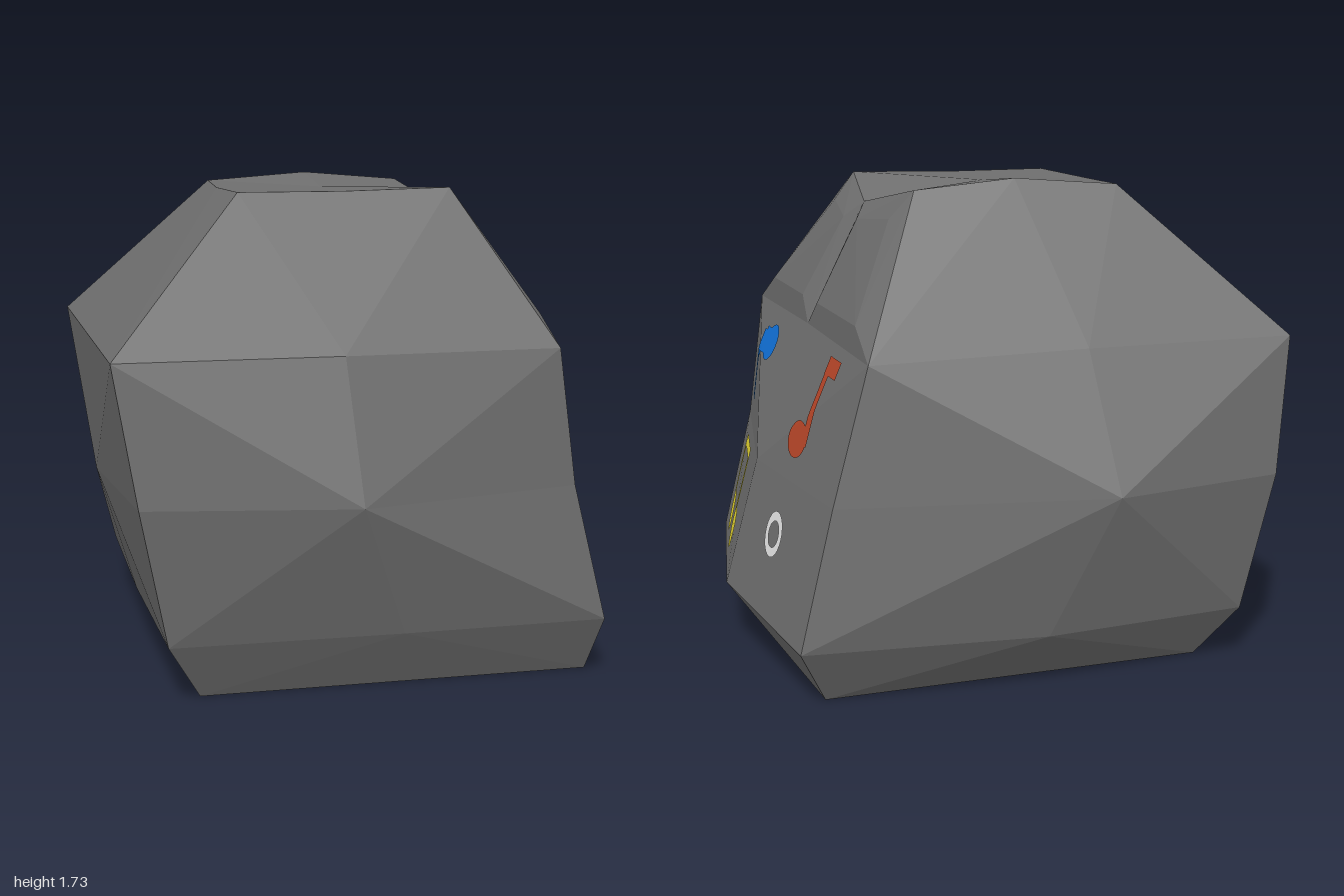
import * as THREE from 'three';
import { mergeGeometries } from 'three/addons/utils/BufferGeometryUtils.js';

const material = (name, color) => {
  const m = new THREE.MeshStandardMaterial({ color });
  m.name = name;
  return m;
};

// Horizontal rings of the rock, each starting at the front corner on -x
// and running: front middle, front +x, side, back +x, back middle, back -x, side
const rings = [
  [[-0.64, 0, 0.72], [0.05, 0, 0.72], [0.75, 0, 0.72], [0.75, 0, 0.02],
    [0.75, 0, -0.68], [0.05, 0, -0.68], [-0.64, 0, -0.68], [-0.64, 0, 0.02]],
  [[-0.76, 0.21, 0.83], [0.05, 0.21, 0.84], [0.78, 0.21, 0.83], [0.94, 0.22, 0.03],
    [0.86, 0.21, -0.79], [0, 0.2, -0.86], [-0.76, 0.2, -0.8], [-0.77, 0.2, 0.02]],
  [[-0.86, 0.7, 0.91], [-0.13, 0.69, 1], [0.67, 0.69, 0.8], [0.82, 0.69, 0],
    [0.74, 0.7, -0.78], [-0.2, 0.71, -1], [-0.86, 0.7, -0.85], [-0.91, 0.67, 0.02]],
  [[-0.94, 1.18, 0.89], [-0.17, 1.18, 0.89], [0.61, 1.17, 0.79], [0.61, 1.18, 0.03],
    [0.61, 1.17, -0.77], [-0.17, 1.18, -0.77], [-0.94, 1.18, -0.77], [-0.94, 1.18, 0.03]],
  [[-0.43, 1.69, 0.35], [-0.05, 1.69, 0.35], [0.34, 1.7, 0.35], [0.39, 1.62, 0.03],
    [0.34, 1.7, -0.42], [-0.03, 1.73, -0.41], [-0.41, 1.7, -0.43], [-0.44, 1.69, -0.04]],
];

// Raised panels on the upper +x side, keyed by ring segment
const panels = {
  2: [[0.6, 1.27, 0.6], [0.6, 1.27, 0.14], [0.45, 1.56, 0.1], [0.42, 1.6, 0.33]],
  3: [[0.6, 1.27, -0.07], [0.6, 1.27, -0.58], [0.42, 1.6, -0.38], [0.45, 1.57, -0.08]],
};

function rockGeometry() {
  const points = [];
  const tri = (...corners) => corners.forEach((p) => points.push(...p));
  const vec = (from, to) => new THREE.Vector3(...to).sub(new THREE.Vector3(...from));

  // Split a quad along the diagonal that bulges outward
  const quad = (a, b, c, d) => {
    const normal = vec(a, c).cross(vec(b, d));
    const lift = vec(b, a).add(vec(d, c)).dot(normal);
    if (lift > 0) { tri(a, b, c); tri(a, c, d); } else { tri(a, b, d); tri(b, c, d); }
  };

  for (let level = 0; level < 4; level++) {
    const lo = rings[level], hi = rings[level + 1];
    for (let i = 0; i < 8; i++) {
      const j = (i + 1) % 8;
      const outer = [lo[i], lo[j], hi[j], hi[i]];
      const inner = level === 3 && panels[i];
      if (!inner) { quad(...outer); continue; }
      quad(...inner);
      for (let k = 0; k < 4; k++) {
        const n = (k + 1) % 4;
        quad(outer[k], outer[n], inner[n], inner[k]);
      }
    }
  }

  // Top and bottom caps
  for (let i = 0; i < 8; i++) {
    const j = (i + 1) % 8;
    tri([-0.05, 1.69, -0.03], rings[4][i], rings[4][j]);
    tri([0.05, 0, 0.02], rings[0][j], rings[0][i]);
  }

  const geometry = new THREE.BufferGeometry();
  geometry.setAttribute('position', new THREE.Float32BufferAttribute(points, 3));
  geometry.computeVertexNormals();
  return geometry;
}

// Flat pieces of a mark, drawn with u = -z and v = y
const bar = (u0, u1, v0, v1) => new THREE.PlaneGeometry(u1 - u0, v1 - v0,
  Math.ceil((u1 - u0) / 0.025), Math.ceil((v1 - v0) / 0.025))
  .translate((u0 + u1) / 2, (v0 + v1) / 2, 0);
const disc = (u, v, rx, ry = rx, hole = 0) => new THREE.RingGeometry(hole, 1, 24, 4)
  .scale(rx, ry, 1).translate(u, v, 0);

export function createModel() {
  const group = new THREE.Group();
  const stone = material('stone grey', 0x6e6e6e);
  stone.flatShading = true;
  const rock = new THREE.Mesh(rockGeometry(), stone);
  rock.name = 'rock';
  group.add(rock);

  // Lay painted pieces onto the +x side of the rock
  const ray = new THREE.Raycaster();
  const inward = new THREE.Vector3(-1, 0, 0);
  const paint = (name, mat, pieces) => {
    const geometry = mergeGeometries(pieces);
    const pos = geometry.attributes.position;
    for (let i = 0; i < pos.count; i++) {
      const y = pos.getY(i), z = -pos.getX(i);
      ray.set(new THREE.Vector3(2, y, z), inward);
      const hit = ray.intersectObject(rock)[0];
      pos.setXYZ(i, (hit ? hit.point.x : 0.7) + 0.006, y, z);
    }
    geometry.computeVertexNormals();
    const mesh = new THREE.Mesh(geometry, mat);
    mesh.name = name;
    group.add(mesh);
  };

  paint('blueNote', material('blue', 0x1070d6), [
    bar(-0.53, -0.475, 0.81, 1.08),
    bar(-0.5, -0.39, 1.0, 1.095),
    disc(-0.385, 1.05, 0.082, 0.066),
  ]);
  paint('redNote', material('red', 0xb84628), [
    bar(0.39, 0.437, 0.83, 1.13),
    bar(0.385, 0.52, 1.075, 1.135),
    disc(0.345, 0.84, 0.085, 0.064),
  ]);
  paint('yellowDoubleNote', material('yellow', 0xe6d632), [
    bar(-0.56, -0.515, 0.35, 0.65),
    bar(-0.325, -0.28, 0.35, 0.65),
    bar(-0.555, -0.285, 0.615, 0.655),
    disc(-0.485, 0.365, 0.077),
    disc(-0.265, 0.36, 0.075),
  ]);
  paint('whiteRing', material('white', 0xe4e4e4), [disc(0.335, 0.5, 0.08, 0.08, 0.58)]);

  return group;
}
